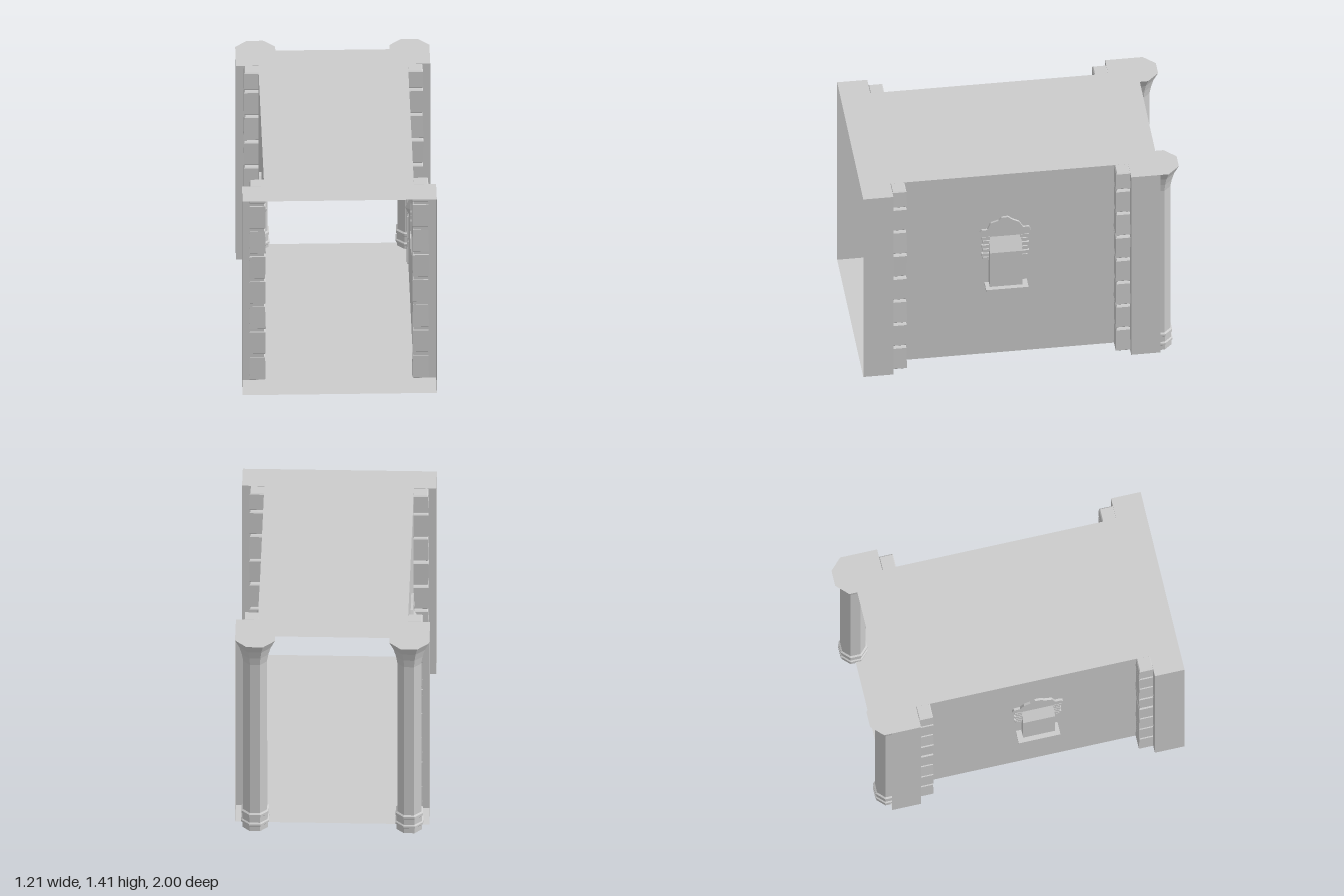
import * as THREE from 'three';

const Y0 = 0.015, Y1 = 1.413;   // floor and ceiling heights
const WALL = 0.468, WIDE = 0.607; // half widths of the passage and of its ends
const mat = new THREE.MeshStandardMaterial({ color: 0xcccccc, flatShading: true, side: THREE.DoubleSide });

function add(parent, name, geometry) {
  const mesh = new THREE.Mesh(geometry, mat);
  mesh.name = name;
  parent.add(mesh);
  return mesh;
}

const shapeOf = (pts) => new THREE.Shape(pts.map(([a, b]) => new THREE.Vector2(a, b)));

// Box given by its limits
function box(x0, x1, y0, y1, z0, z1) {
  return new THREE.BoxGeometry(x1 - x0, y1 - y0, z1 - z0)
    .translate((x0 + x1) / 2, (y0 + y1) / 2, (z0 + z1) / 2);
}

// Open strip of quads joining two rows of points
function ribbon(a, b) {
  const pos = [];
  for (let i = 0; i + 1 < a.length; i++) {
    pos.push(...a[i], ...a[i + 1], ...b[i + 1], ...a[i], ...b[i + 1], ...b[i]);
  }
  const g = new THREE.BufferGeometry();
  g.setAttribute('position', new THREE.Float32BufferAttribute(pos, 3));
  g.computeVertexNormals();
  return g;
}

// Block with chamfered edges that tapers a little towards its top
function brick(w, h, d, taper) {
  const b = 0.007;
  const rect = shapeOf([[-w / 2 + b, -d / 2 + b], [w / 2 - b, -d / 2 + b], [w / 2 - b, d / 2 - b], [-w / 2 + b, d / 2 - b]]);
  const g = new THREE.ExtrudeGeometry(rect, { depth: h - 2 * b, bevelSize: b, bevelThickness: b, bevelSegments: 1 });
  g.rotateX(-Math.PI / 2).translate(0, b, 0);
  const p = g.attributes.position;
  for (let i = 0; i < p.count; i++) {
    const k = 1 + taper * (p.getY(i) / h - 0.5);
    p.setX(i, p.getX(i) * k);
    p.setZ(i, p.getZ(i) * k);
  }
  return g;
}

function brickPier(parent, name, z) {
  const pier = new THREE.Group();
  pier.name = name;
  const tapers = [-0.08, 0, -0.1, 0, 0.08, -0.1, 0, -0.06];
  tapers.forEach((t, i) => {
    const y = Y0 + 0.002 + i * 0.1815;
    add(pier, 'brick', brick(0.1, Math.min(0.168, Y1 - y), 0.094, t)).position.set(0.51, y, z);
  });
  parent.add(pier);
}

// Eight-sided column with ringed base and flared capital
function column(parent) {
  const profile = [[0, 0], [0.08, 0], [0.08, 0.035], [0.087, 0.042], [0.087, 0.055], [0.079, 0.062],
    [0.079, 0.1], [0.085, 0.106], [0.085, 0.124], [0.075, 0.132], [0.074, 1.245], [0.083, 1.3],
    [0.098, 1.355], [0.125, Y1], [0, Y1]];
  const k = 1 / Math.cos(Math.PI / 8);
  const g = new THREE.LatheGeometry(profile.map(([r, y]) => new THREE.Vector2(r * k, y)), 8);
  add(parent, 'column', g.rotateY(Math.PI / 8)).position.set(0.482, 0, -0.875);
}

function windowBay(parent) {
  const bay = new THREE.Group();
  bay.name = 'window';
  const z0 = -0.015, z1 = 0.19;
  // Niche bulging outwards, open to the inside
  const profile = [[WALL, 0.575], [0.522, 0.575], [0.522, 0.84], [WALL, 0.94]];
  add(bay, 'nichePanel', ribbon(profile.map(([x, y]) => [x, y, z1]), profile.map(([x, y]) => [x, y, z0])));
  for (const z of [z0, z1]) add(bay, 'nicheCheek', new THREE.ShapeGeometry(shapeOf(profile)).translate(0, 0, z));
  add(bay, 'sill', box(0.464, 0.553, 0.56, 0.576, -0.05, 0.217));
  // Rough arch stone above
  const arch = shapeOf([[0.19, 0.94], [0.24, 0.945], [0.248, 0.98], [0.235, 0.995], [0.2, 0.995], [0.18, 1.045],
    [0.13, 1.06], [0.11, 1.082], [0.07, 1.085], [0.04, 1.06], [0.0, 1.04], [-0.025, 0.998],
    [-0.065, 0.995], [-0.075, 0.965], [-0.06, 0.945], [-0.015, 0.94]]);
  add(bay, 'archStone', new THREE.ExtrudeGeometry(arch, { depth: 0.022, bevelEnabled: false })
    .rotateY(-Math.PI / 2).translate(0.483, 0, 0));
  // Small toothed stones on both jambs
  [0.76, 0.79, 0.823, 0.855, 0.888, 0.918].forEach((y, i) => {
    const out = i % 2 ? 0.048 : 0.038;
    add(bay, 'jambStone', box(0.461, 0.486, y, y + 0.024, z1 - 0.005, z1 + out));
    add(bay, 'jambStone', box(0.461, 0.486, y, y + 0.024, z0 - out, z0 + 0.005));
  });
  // Pointed shard hanging on the inner side
  const shard = new THREE.ConeGeometry(0.035, 0.08, 4).translate(0, 0.04, 0);
  add(bay, 'shardTop', shard).position.set(0.466, 0.83, 0.09);
  const lower = add(bay, 'shardBottom', shard);
  lower.position.set(0.466, 0.83, 0.09);
  lower.rotation.x = Math.PI;
  parent.add(bay);
}

function side(name, sign) {
  const g = new THREE.Group();
  g.name = name;
  // Long wall with window opening
  const wall = shapeOf([[-0.69, Y0], [0.81, Y0], [0.81, Y1], [-0.69, Y1]]);
  wall.holes.push(shapeOf([[-0.015, 0.575], [-0.015, 0.94], [0.19, 0.94], [0.19, 0.575]]));
  add(g, 'wall', new THREE.ShapeGeometry(wall).rotateY(-Math.PI / 2).translate(WALL, 0, 0));
  // Wider ends of the wall
  for (const path of [[[WIDE, 1], [WIDE, 0.81], [WALL, 0.81]], [[WALL, -0.69], [WIDE, -0.69], [WIDE, -0.875]]]) {
    add(g, 'wallEnd', ribbon(path.map(([x, z]) => [x, Y0, z]), path.map(([x, z]) => [x, Y1, z])));
  }
  brickPier(g, 'frontBricks', 0.767);
  brickPier(g, 'backBricks', -0.647);
  column(g);
  windowBay(g);
  g.scale.x = sign;
  return g;
}

export function createModel() {
  const model = new THREE.Group();
  model.name = 'corridor';
  // Floor and ceiling share one outline
  const half = [[WIDE, 1], [WIDE, 0.81], [WALL, 0.81], [WALL, -0.69], [WIDE, -0.69], [WIDE, -0.875]];
  const outline = [...half, ...half.map(([x, z]) => [-x, z]).reverse()];
  for (const [name, y] of [['floor', Y0], ['ceiling', Y1]]) {
    const slab = new THREE.ShapeGeometry(shapeOf(outline.map(([x, z]) => [x, -z])));
    add(model, name, slab.rotateX(-Math.PI / 2).translate(0, y, 0));
  }
  model.add(side('leftSide', 1), side('rightSide', -1));
  return model;
}
